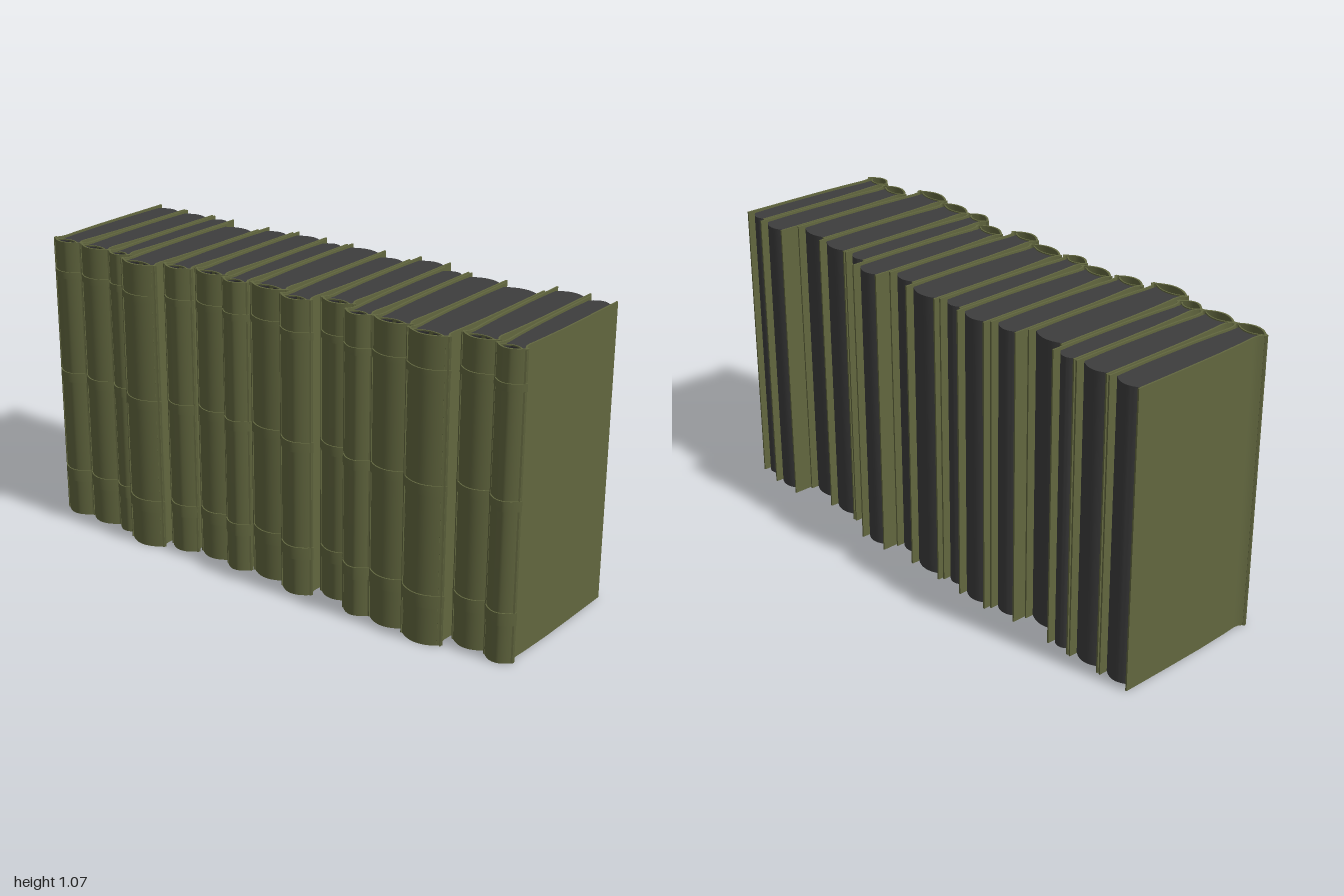
import * as THREE from 'three';
import { toCreasedNormals } from 'three/addons/utils/BufferGeometryUtils.js';

const HEIGHT = 1.074;
// Boundaries between neighbouring books along z, from back to front
const EDGES = [-0.995, -0.863, -0.724, -0.621, -0.463, -0.337, -0.199, -0.089,
  0.066, 0.196, 0.33, 0.44, 0.59, 0.749, 0.886, 0.995];
// How far each spine stands from the centre
const SPINES = [-0.294, -0.294, -0.294, -0.34, -0.294, -0.273, -0.294, -0.278,
  -0.315, -0.262, -0.315, -0.315, -0.34, -0.273, -0.294];
// Raised spine bands: centre height and width
const BANDS = [[0.16, 0.046], [0.555, 0.036], [0.95, 0.026]];

// Upright solid from a closed plan outline
function upright(points, y0, y1) {
  const geo = new THREE.ExtrudeGeometry(new THREE.Shape(points), { depth: y1 - y0, bevelEnabled: false });
  geo.rotateX(-Math.PI / 2).translate(0, y0, 0);
  return toCreasedNormals(geo, 0.6);
}

// Plan outline of a bent sheet of thickness t, grown to the left of the path
function sheet(path, t) {
  const other = path.map((p, i) => {
    const a = path[Math.max(i - 1, 0)], b = path[Math.min(i + 1, path.length - 1)];
    const d = b.clone().sub(a).normalize();
    return new THREE.Vector2(p.x - d.y * t, p.y + d.x * t);
  });
  return [...path, ...other.reverse()];
}

// Shallow bow across the book, half-width h, deep by `bow` at its ends
function bow(x, depth, h, n = 14) {
  return Array.from({ length: n + 1 }, (_, i) => {
    const u = 1 - (2 * i) / n;
    return new THREE.Vector2(x + depth * u * u, h * u);
  });
}

export function createModel() {
  const model = new THREE.Group();
  model.name = 'bookRow';
  const cloth = new THREE.MeshStandardMaterial({ color: 0x62673f });
  cloth.name = 'olive cloth';
  const paper = new THREE.MeshStandardMaterial({ color: 0x3d3d3d });
  paper.name = 'dark paper';

  function makeBook(thickness) {
    const book = new THREE.Group();
    const h = thickness / 2 + 0.003;
    const add = (name, outline, y0, y1, material) => {
      const mesh = new THREE.Mesh(upright(outline, y0, y1), material);
      mesh.name = name;
      book.add(mesh);
    };

    // Rounded spine with a hollow back
    add('spine', sheet(bow(0, 0.036, h), 0.007), 0, HEIGHT, cloth);
    add('spineLining', sheet(bow(0.046, -0.022, h - 0.015), 0.005), 0.004, HEIGHT - 0.004, cloth);

    // Raised bands wrapping the spine
    for (const [y, w] of BANDS) {
      add('spineBand', sheet(bow(-0.005, 0.039, h + 0.003), 0.008), y - w / 2, y + w / 2, cloth);
    }

    // Covers: pinched at the hinge and widening to the fore edge
    const hinge = [[0.028, 0.002], [0.04, 0.008], [0.055, 0.016], [0.075, 0.018],
      [0.13, 0.014], [0.25, 0.009], [0.4, 0.007], [0.602, 0.006]];
    for (const side of [-1, 1]) {
      const path = hinge.map(([x, inset]) => new THREE.Vector2(x, side * (h - inset)));
      add(side > 0 ? 'backCover' : 'frontCover', sheet(path, -side * 0.006), 0, HEIGHT, cloth);
    }

    // Page block: hollow at the spine, rounded at the fore edge
    const upper = [[0.07, 0.023], [0.13, 0.019], [0.25, 0.0145], [0.4, 0.0125], [0.5, 0.014]]
      .map(([x, inset]) => new THREE.Vector2(x, h - inset));
    const lower = upper.map((p) => new THREE.Vector2(p.x, -p.y)).reverse();
    const outline = [...upper, ...bow(0.598, -0.022, h - 0.017), ...lower,
      ...bow(0.046, -0.018, h - 0.024).reverse()];
    add('pages', outline, 0.008, HEIGHT - 0.008, paper);
    return book;
  }

  SPINES.forEach((x, i) => {
    const book = makeBook(EDGES[i + 1] - EDGES[i]);
    book.name = `book${i + 1}`;
    book.position.set(x, 0, (EDGES[i] + EDGES[i + 1]) / 2);
    model.add(book);
  });
  return model;
}
